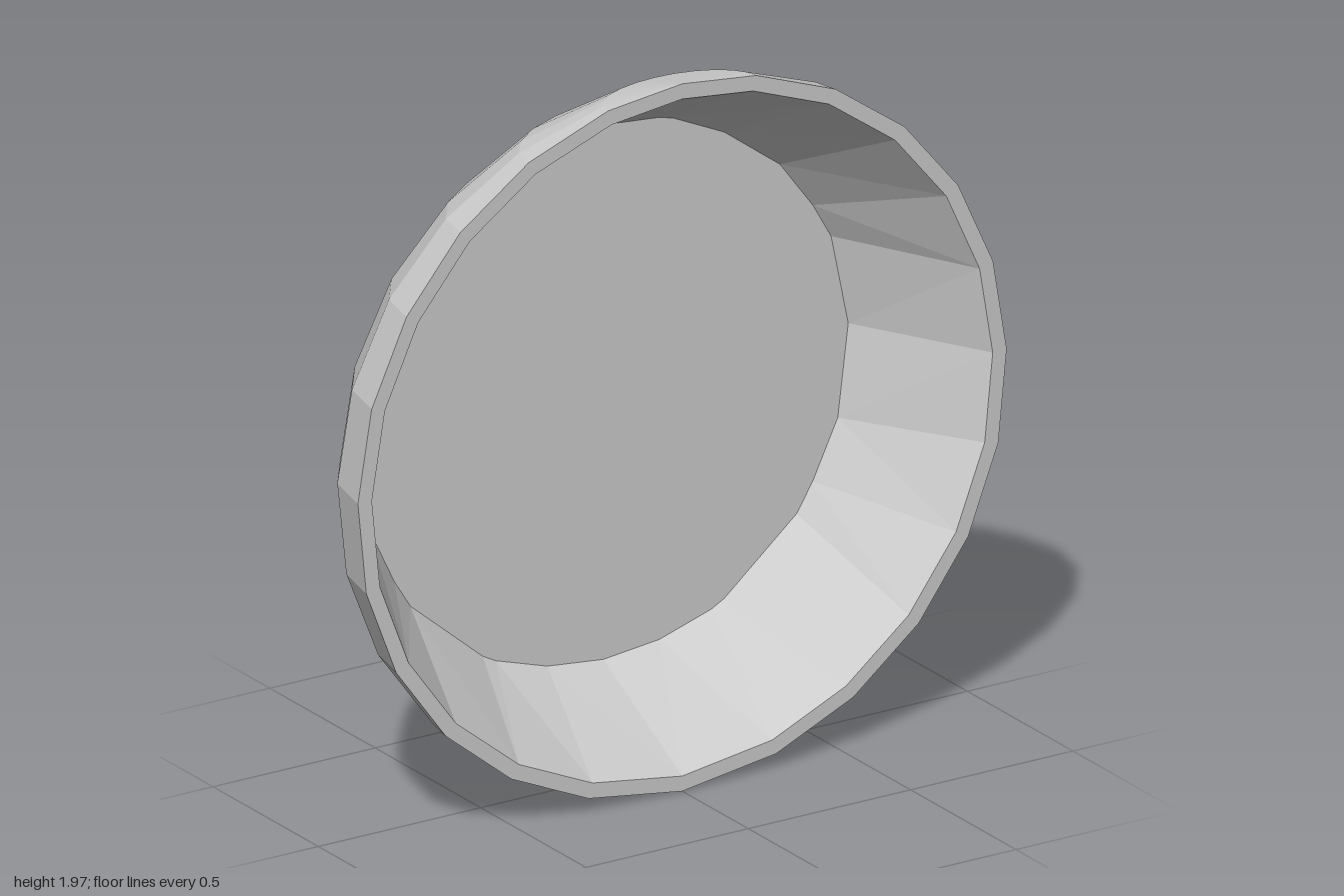
import * as THREE from 'three';

const V = (x, y, z) => new THREE.Vector3(x, y, z);
const CENTRE = V(0, 0.983, 0.187);
const RX = 1, RY = 0.983, RZ = 0.58; // radii of the squashed dome
const BACK = -0.187;                 // plane that cuts the dome flat
const INNER = 0.957;                 // inner lip size relative to the outer lip

// Flat-faced mesh from convex polygons, each turned to face the given direction
function facetMesh(name, polygons, facing, side = THREE.FrontSide) {
  const pos = [];
  for (const poly of polygons) {
    const mid = poly.reduce((s, p) => s.add(p), V(0, 0, 0)).divideScalar(poly.length);
    const dir = facing(mid);
    for (let i = 1; i < poly.length - 1; i++) {
      const [a, b, c] = [poly[0], poly[i], poly[i + 1]];
      const n = b.clone().sub(a).cross(c.clone().sub(a));
      if (n.length() < 1e-9) continue;
      for (const p of n.dot(dir) > 0 ? [a, b, c] : [a, c, b]) pos.push(p.x, p.y, p.z);
    }
  }
  const geo = new THREE.BufferGeometry();
  geo.setAttribute('position', new THREE.Float32BufferAttribute(pos, 3));
  geo.computeVertexNormals();
  const mesh = new THREE.Mesh(geo, new THREE.MeshStandardMaterial({ color: 0xcccccc, flatShading: true, side }));
  mesh.name = name;
  return mesh;
}

// Keep the part of a polygon in front of the back plane, noting the cut points
function clipBack(poly, cuts) {
  const out = [];
  poly.forEach((p, i) => {
    const q = poly[(i + 1) % poly.length];
    if (p.z >= BACK) out.push(p);
    if ((p.z >= BACK) !== (q.z >= BACK)) {
      const c = p.clone().lerp(q, (BACK - p.z) / (q.z - p.z));
      out.push(c);
      if (!cuts.some((k) => k.distanceTo(c) < 1e-4)) cuts.push(c);
    }
  });
  return out;
}

const angle = (p) => Math.atan2(p.y - CENTRE.y, p.x);
const byAngle = (a, b) => angle(a) - angle(b);

// Triangles joining two closed loops, each sorted by angle
function stitch(A, B) {
  const tris = [];
  const at = (L, i) => angle(L[i % L.length]) + (i >= L.length ? 2 * Math.PI : 0);
  let i = 0, j = 0;
  while (i < A.length || j < B.length) {
    const a = A[i % A.length], b = B[j % B.length];
    const stepA = j >= B.length || (i < A.length && at(A, i + 1) <= at(B, j + 1));
    if (stepA) tris.push([a, A[++i % A.length], b]);
    else tris.push([a, B[++j % B.length], b]);
  }
  return tris;
}

export function createModel() {
  const group = new THREE.Group();
  group.name = 'bowl';

  // Latitudes of the dome rings, from the bottom pole to the top pole
  const lats = [-90];
  for (let k = -5; k <= 5; k++) lats.push(1.8 + 15 * k);
  lats.push(90);
  const point = (lat, k) => {
    const f = THREE.MathUtils.degToRad(lat), a = (k * Math.PI) / 12;
    return V(RX * Math.cos(f) * Math.cos(a), CENTRE.y + RY * Math.sin(f), CENTRE.z - RZ * Math.cos(f) * Math.sin(a));
  };

  // Outer shell: half a dome with its back sliced off
  const cuts = [], shell = [];
  for (let r = 0; r < lats.length - 1; r++) {
    for (let k = 0; k < 12; k++) {
      const quad = [point(lats[r], k), point(lats[r], k + 1), point(lats[r + 1], k + 1), point(lats[r + 1], k)];
      // a pole quad collapses to a triangle
      const poly = quad.filter((p, i) => p.distanceTo(quad[(i + 1) % 4]) > 1e-6);
      const kept = clipBack(poly, cuts);
      if (kept.length > 2) shell.push(kept);
    }
  }
  group.add(facetMesh('outerShell', shell, (m) => m.clone().sub(CENTRE)));

  // Flat lip between the outer and inner outlines
  const outer = lats.map((l) => point(l, 0)).concat(lats.slice(1, -1).map((l) => point(l, 12))).sort(byAngle);
  const inner = outer.map((p) => p.clone().sub(CENTRE).multiplyScalar(INNER).add(CENTRE));
  const lip = outer.map((p, i) => {
    const n = (i + 1) % outer.length;
    return [p, outer[n], inner[n], inner[i]];
  });
  group.add(facetMesh('lip', lip, () => V(0, 0, 1)));

  // Sloping inner wall down to the flat base
  cuts.sort(byAngle);
  group.add(facetMesh('innerWall', stitch(inner, cuts), (m) => V(-m.x, CENTRE.y - m.y, 0)));

  // Base disc, seen from inside and behind
  group.add(facetMesh('base', [cuts], () => V(0, 0, -1), THREE.DoubleSide));
  return group;
}
